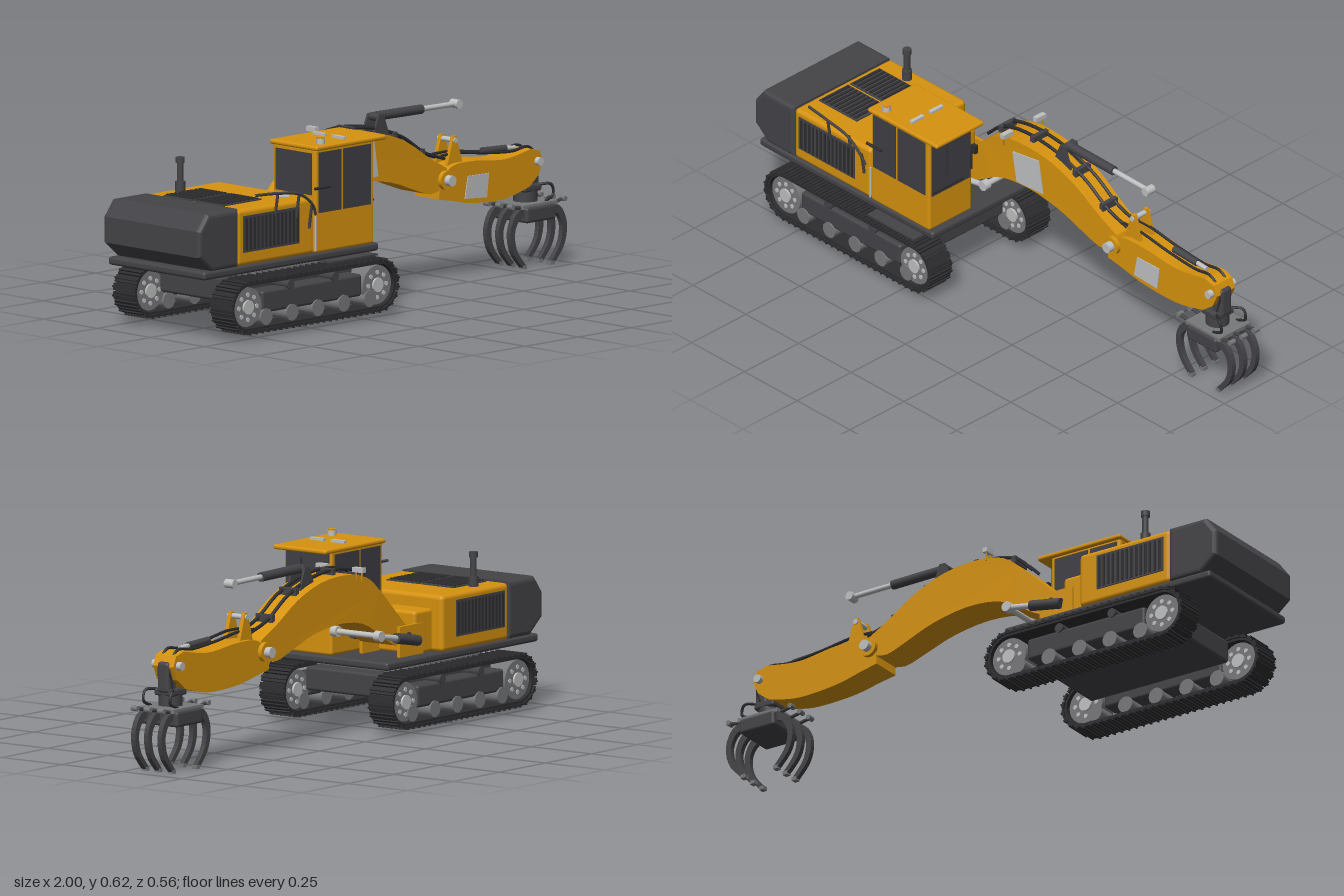
import * as THREE from 'three';
import { RoundedBoxGeometry } from 'three/addons/geometries/RoundedBoxGeometry.js';

const paint = (name, color) => Object.assign(new THREE.MeshStandardMaterial({ color }), { name });
const ORANGE = paint('orange paint', 0xd6920e), DARK = paint('dark metal', 0x444448);
const RUBBER = paint('track black', 0x2d2d30), GLASS = paint('tinted glass', 0x3f3f45);
const STEEL = paint('light steel', 0xbfc0c1), GREY = paint('mid grey', 0x77787a);
const V = (x, y, z) => new THREE.Vector3(x, y, z);
const ARM_Z = -0.1;

export function createModel() {
  const root = new THREE.Group();
  const add = (name, geo, mat, x = 0, y = 0, z = 0) => {
    const m = new THREE.Mesh(geo, mat);
    m.name = name;
    m.position.set(x, y, z);
    root.add(m);
    return m;
  };
  // box given by its min and max on each axis; r rounds the edges
  const box = (name, mat, x0, x1, y0, y1, z0, z1, r = 0) => {
    const s = [x1 - x0, y1 - y0, z1 - z0];
    const g = r ? new RoundedBoxGeometry(...s, 3, r) : new THREE.BoxGeometry(...s);
    return add(name, g, mat, (x0 + x1) / 2, (y0 + y1) / 2, (z0 + z1) / 2);
  };
  const rod = (name, mat, a, b, r, sides = 16) => {
    const d = b.clone().sub(a);
    const m = add(name, new THREE.CylinderGeometry(r, r, d.length(), sides), mat);
    m.position.copy(a).add(b).multiplyScalar(0.5);
    m.quaternion.setFromUnitVectors(V(0, 1, 0), d.normalize());
    return m;
  };
  const pin = (name, mat, x, y, z0, z1, r, sides = 20) => rod(name, mat, V(x, y, z0), V(x, y, z1), r, sides);
  const tube = (name, mat, pts, r) =>
    add(name, new THREE.TubeGeometry(new THREE.CatmullRomCurve3(pts.map(p => V(...p))), 40, r, 6), mat);
  const spline = (pts, n = 24) => new THREE.SplineCurve(pts.map(p => new THREE.Vector2(...p))).getPoints(n);
  // side profile extruded between z0(x) and z1(x)
  const slab = (name, mat, pts, z0, z1) => {
    const shape = new THREE.Shape(pts.map(p => (p.isVector2 ? p : new THREE.Vector2(...p))));
    const g = new THREE.ExtrudeGeometry(shape, { depth: 1, bevelEnabled: false });
    const p = g.attributes.position;
    for (let i = 0; i < p.count; i++) {
      const x = p.getX(i), t = p.getZ(i);
      p.setZ(i, z0(x) * (1 - t) + z1(x) * t);
    }
    g.computeVertexNormals();
    return add(name, g, mat);
  };
  const flat = v => () => v;

  // Crawler tracks
  const XA = -0.81, XB = -0.2, YC = 0.11, L = XB - XA;
  const stadium = (P, r) => {
    P.absarc(XB, YC, r, -Math.PI / 2, Math.PI / 2, false);
    P.absarc(XA, YC, r, Math.PI / 2, Math.PI * 1.5, false);
    P.closePath();
    return P;
  };
  for (const s of [1, -1]) {
    const zc = s * 0.2265;
    const belt = stadium(new THREE.Shape(), 0.082);
    belt.holes.push(stadium(new THREE.Path(), 0.071));
    add('trackBelt', new THREE.ExtrudeGeometry(belt, { depth: 0.09, bevelEnabled: false, curveSegments: 20 }), RUBBER, 0, 0, zc - 0.045);
    const R = 0.083, arc = Math.PI * R, total = 2 * L + 2 * arc, N = 60;
    for (let i = 0; i < N; i++) {
      let d = (i / N) * total, x, y, a;
      if (d < L) { x = XA + d; y = YC - R; a = -Math.PI / 2; }
      else if (d < L + arc) { a = -Math.PI / 2 + (d - L) / R; x = XB + R * Math.cos(a); y = YC + R * Math.sin(a); }
      else if (d < 2 * L + arc) { x = XB - (d - L - arc); y = YC + R; a = Math.PI / 2; }
      else { a = Math.PI / 2 + (d - 2 * L - arc) / R; x = XA + R * Math.cos(a); y = YC + R * Math.sin(a); }
      const shoe = add('trackShoe', new THREE.BoxGeometry(0.008, 0.025, 0.103), RUBBER, x, y, zc);
      shoe.rotation.z = a;
      const cleat = add('trackCleat', new THREE.BoxGeometry(0.007, 0.006, 0.103), RUBBER, x + 0.006 * Math.cos(a), y + 0.006 * Math.sin(a), zc);
      cleat.rotation.z = a;
    }
    // wheels, rollers and side frame
    for (const x of [XA, XB]) {
      pin('trackWheel', GREY, x, YC, zc - 0.035, zc + 0.035, 0.066, 28);
      pin('wheelHub', STEEL, x, YC, zc - 0.042, zc + 0.042, 0.024);
      for (let k = 0; k < 8; k++) {
        const a = (k * Math.PI) / 4;
        pin('wheelBolt', STEEL, x + 0.042 * Math.cos(a), YC + 0.042 * Math.sin(a), zc - 0.038, zc + 0.038, 0.008, 8);
      }
    }
    for (let i = 0; i < 5; i++) pin('roller', GREY, -0.725 + i * 0.122, 0.068, zc - 0.04, zc + 0.04, 0.028);
    box('trackFrame', DARK, -0.74, -0.27, 0.08, 0.155, zc - 0.035, zc + 0.035, 0.01);
    for (const x of [-0.61, -0.4]) pin('carrierRoller', DARK, x, 0.162, zc - 0.04, zc + 0.04, 0.016);
  }
  // Undercarriage and slew ring
  box('undercarriage', DARK, -0.78, -0.23, 0.105, 0.185, -0.178, 0.178, 0.01);
  box('carrierPlate', GREY, -0.7, -0.3, 0.183, 0.206, -0.188, 0.188);
  add('slewRing', new THREE.CylinderGeometry(0.17, 0.17, 0.03, 40), DARK, -0.5, 0.205, 0);

  // Deck, counterweight and engine housing
  box('deck', DARK, -0.976, -0.152, 0.214, 0.242, -0.225, 0.225, 0.01);
  box('sideStep', DARK, -0.42, -0.2, 0.209, 0.215, 0.2, 0.266);
  const cw = new THREE.Shape([[-0.825, 0.255], [-0.93, 0.255], [-0.985, 0.3], [-0.985, 0.375], [-0.95, 0.42], [-0.825, 0.42]].map(p => new THREE.Vector2(...p)));
  add('counterweight', new THREE.ExtrudeGeometry(cw, { depth: 0.42, bevelSize: 0.015, bevelThickness: 0.015, bevelSegments: 3 }), DARK, 0, 0, -0.21);
  box('engineHousing', ORANGE, -0.815, -0.452, 0.24, 0.43, -0.224, 0.22, 0.015);
  for (const s of [1, -1]) {
    const z = s > 0 ? 0.22 : -0.224;
    box('sideGrille', DARK, -0.79, -0.525, 0.285, 0.408, z - 0.003, z + 0.003);
    for (let i = 0; i < 14; i++) box('grilleSlat', RUBBER, -0.78 + i * 0.0185, -0.772 + i * 0.0185, 0.292, 0.4, z - 0.006, z + 0.006);
  }
  for (const [z0, z1] of [[-0.15, -0.015], [-0.005, 0.13]]) {
    box('topGrille', DARK, -0.79, -0.61, 0.428, 0.434, z0, z1);
    for (let i = 0; i < 9; i++) box('topSlat', RUBBER, -0.783 + i * 0.019, -0.774 + i * 0.019, 0.432, 0.438, z0 + 0.006, z1 - 0.006);
  }
  add('warningPatch', new THREE.BoxGeometry(0.04, 0.004, 0.04), STEEL, -0.505, 0.431, 0.125).rotation.y = Math.PI / 4;
  rod('exhaust', DARK, V(-0.685, 0.42, -0.175), V(-0.685, 0.53, -0.175), 0.011);
  rod('exhaustBase', DARK, V(-0.685, 0.42, -0.175), V(-0.685, 0.465, -0.175), 0.017);
  rod('exhaustCap', DARK, V(-0.685, 0.527, -0.175), V(-0.685, 0.546, -0.175), 0.015);
  // Handrail
  tube('handrail', DARK, [[-0.74, 0.472, 0.225], [-0.64, 0.468, 0.235], [-0.54, 0.453, 0.24], [-0.48, 0.41, 0.24], [-0.462, 0.375, 0.235]], 0.005);
  for (const [x, y] of [[-0.64, 0.468], [-0.54, 0.453], [-0.48, 0.41]]) rod('railPost', DARK, V(x, y, 0.235), V(x, y - 0.08, 0.222), 0.005, 8);
  rod('doorGrip', STEEL, V(-0.45, 0.25, 0.223), V(-0.45, 0.365, 0.223), 0.004, 8);

  // Cab
  box('cabBody', ORANGE, -0.45, -0.172, 0.24, 0.592, 0.024, 0.222, 0.01);
  box('cabRoof', ORANGE, -0.455, -0.125, 0.585, 0.601, 0.012, 0.233, 0.007);
  for (const z of [0.222, 0.024]) {
    box('rearSideWindow', GLASS, -0.436, -0.33, 0.375, 0.578, z - 0.003, z + 0.003);
    box('frontSideWindow', GLASS, -0.32, -0.19, 0.375, 0.578, z - 0.003, z + 0.003);
  }
  box('windscreen', GLASS, -0.175, -0.169, 0.372, 0.585, 0.033, 0.212);
  box('rearWindow', GLASS, -0.453, -0.447, 0.435, 0.575, 0.04, 0.206);
  box('windscreenBar', RUBBER, -0.17, -0.164, 0.382, 0.388, 0.07, 0.212);
  rod('wiper', RUBBER, V(-0.166, 0.43, 0.145), V(-0.166, 0.56, 0.145), 0.002, 6);
  box('cabMirror', RUBBER, -0.165, -0.145, 0.472, 0.502, 0.022, 0.037);
  rod('mirrorArm', RUBBER, V(-0.16, 0.41, 0.038), V(-0.16, 0.48, 0.038), 0.003, 6);
  rod('doorHandle', RUBBER, V(-0.46, 0.46, 0.23), V(-0.39, 0.46, 0.23), 0.005, 8);
  for (const z of [0.08, 0.168]) box('roofLight', STEEL, -0.292, -0.278, 0.6, 0.61, z - 0.028, z + 0.028);
  rod('beacon', STEEL, V(-0.4, 0.6, 0.197), V(-0.4, 0.618, 0.197), 0.015);
  rod('beaconCap', ORANGE, V(-0.4, 0.618, 0.197), V(-0.4, 0.623, 0.197), 0.013);

  // Boom mount and lift cylinders
  box('boomMount', ORANGE, -0.46, -0.36, 0.24, 0.385, -0.18, -0.02, 0.012);
  for (const z of [-0.025, -0.18]) {
    box('mountCheek', ORANGE, -0.4, -0.27, 0.24, 0.345, z - 0.006, z + 0.006);
    const zo = z > ARM_Z ? -0.012 : -0.193;
    rod('liftBarrel', DARK, V(-0.36, 0.29, zo), V(-0.24, 0.312, zo), 0.018);
    rod('liftRod', STEEL, V(-0.24, 0.312, zo), V(-0.15, 0.328, zo), 0.01);
    pin('liftEye', STEEL, -0.148, 0.33, zo - 0.012, zo + 0.012, 0.018);
  }
  pin('liftPin', STEEL, -0.148, 0.33, -0.2, -0.005, 0.01);
  pin('boomFootPin', DARK, -0.315, 0.305, -0.19, -0.01, 0.018);

  // Boom and stick, narrowing toward the tip
  const half = x => 0.07 - 0.03 * THREE.MathUtils.clamp((x + 0.15) / 1.05, 0, 1);
  const near = x => ARM_Z + half(x), far = x => ARM_Z - half(x);
  slab('boom', ORANGE, [
    ...spline([[-0.35, 0.32], [-0.27, 0.395], [-0.18, 0.48], [-0.11, 0.53], [-0.01, 0.55], [0.125, 0.54], [0.25, 0.495], [0.355, 0.43], [0.44, 0.385]]),
    [0.455, 0.35],
    ...spline([[0.42, 0.318], [0.36, 0.306], [0.28, 0.332], [0.17, 0.37], [0.035, 0.39], [-0.09, 0.377], [-0.18, 0.33], [-0.26, 0.285], [-0.33, 0.275]]),
  ], far, near);
  slab('stick', ORANGE, [
    ...spline([[0.405, 0.325], [0.46, 0.385], [0.57, 0.392], [0.72, 0.378], [0.85, 0.397]]),
    [0.89, 0.385], [0.905, 0.35], [0.885, 0.305],
    ...spline([[0.84, 0.27], [0.72, 0.245], [0.57, 0.25], [0.46, 0.272], [0.402, 0.283]]),
  ], x => far(x) - 0.002, x => near(x) + 0.002);
  const skin = x => near(x) + 0.001, skinOut = x => near(x) + 0.005;
  slab('boomPatch', STEEL, [[-0.035, 0.505], [0.085, 0.52], [0.105, 0.4], [-0.015, 0.395]], skin, skinOut);
  slab('stickPatch', STEEL, [[0.54, 0.345], [0.642, 0.343], [0.632, 0.262], [0.525, 0.27]], skin, skinOut);
  pin('elbowPin', STEEL, 0.43, 0.346, -0.192, -0.008, 0.018);
  pin('elbowCollar', ORANGE, 0.43, 0.346, -0.17, -0.03, 0.032);
  for (const z of [-0.072, -0.128]) slab('stickBracket', ORANGE, [[0.462, 0.385], [0.492, 0.482], [0.505, 0.482], [0.535, 0.385]], flat(z - 0.007), flat(z + 0.007));
  pin('bracketPin', STEEL, 0.498, 0.468, -0.14, -0.06, 0.009);

  // Arm cylinders
  rod('armBarrel', DARK, V(0.16, 0.587, ARM_Z), V(0.375, 0.584, ARM_Z), 0.016);
  rod('armRod', STEEL, V(0.375, 0.584, ARM_Z), V(0.535, 0.582, ARM_Z), 0.009);
  pin('armRodEye', STEEL, 0.538, 0.582, -0.118, -0.082, 0.015);
  pin('armBarrelEye', DARK, 0.16, 0.585, -0.12, -0.08, 0.014);
  for (const z of [-0.075, -0.125]) slab('armLug', DARK, [[0.12, 0.53], [0.148, 0.595], [0.17, 0.595], [0.2, 0.51]], flat(z - 0.004), flat(z + 0.004));
  rod('gripBarrel', DARK, V(0.66, 0.408, ARM_Z), V(0.77, 0.403, ARM_Z), 0.012);
  rod('gripRod', STEEL, V(0.77, 0.403, ARM_Z), V(0.815, 0.4, ARM_Z), 0.008);

  // Hoses and work lights
  for (const z of [-0.078, -0.122]) {
    tube('boomHose', RUBBER, [[-0.2, 0.48, z], [-0.13, 0.54, z], [-0.02, 0.565, z], [0.13, 0.553, z], [0.26, 0.508, z], [0.37, 0.44, z], [0.46, 0.41, z]], 0.006);
    tube('stickHose', RUBBER, [[0.44, 0.42, z], [0.52, 0.422, z], [0.65, 0.405, z], [0.78, 0.395, z], [0.86, 0.4, z], [0.9, 0.34, z], [0.885, 0.27, z]], 0.005);
  }
  for (const [x, y] of [[-0.13, 0.532], [0.02, 0.557], [0.22, 0.516], [0.35, 0.443]]) box('hoseClamp', DARK, x - 0.008, x + 0.008, y - 0.012, y + 0.014, -0.135, -0.065);
  for (const z of [-0.026, -0.178]) {
    box('workLight', STEEL, -0.068, -0.05, 0.554, 0.57, z - 0.022, z + 0.022);
    for (const d of [-0.012, 0.012]) rod('lightStem', ORANGE, V(-0.059, 0.525, z + d), V(-0.059, 0.556, z + d), 0.003, 6);
  }

  // Grapple head
  pin('wristPin', STEEL, 0.878, 0.352, -0.16, -0.04, 0.014);
  box('wristLink', DARK, 0.862, 0.91, 0.26, 0.365, -0.125, -0.075, 0.012);
  rod('rotator', DARK, V(0.865, 0.215, ARM_Z), V(0.865, 0.272, ARM_Z), 0.04);
  box('rotatorCap', DARK, 0.825, 0.905, 0.25, 0.275, -0.14, -0.06, 0.008);
  box('grappleBody', DARK, 0.795, 0.935, 0.155, 0.208, -0.182, -0.022, 0.01);
  box('grapplePlate', GREY, 0.785, 0.945, 0.202, 0.216, -0.175, -0.03);
  for (const z of [-0.045, -0.155]) tube('grappleHose', RUBBER, [[0.885, 0.27, z * 0.5 - 0.05], [0.93, 0.27, z], [0.94, 0.235, z], [0.9, 0.215, z]], 0.005);
  // Tines, mirrored about the grapple axis
  for (const s of [1, -1]) {
    const mx = x => 0.865 + s * (x - 0.865);
    for (const z of [-0.046, -0.1, -0.156]) {
      const outer = spline([[0.815, 0.21], [0.76, 0.19], [0.732, 0.13], [0.745, 0.06], [0.79, 0.006]], 14);
      const inner = spline([[0.806, 0.012], [0.764, 0.065], [0.753, 0.125], [0.775, 0.168], [0.82, 0.183]], 14);
      const pts = [...outer, ...inner].map(p => new THREE.Vector2(mx(p.x), p.y));
      slab('tine', DARK, pts, flat(z - 0.009), flat(z + 0.009));
      add('tineTip', new THREE.BoxGeometry(0.018, 0.013, 0.02), GREY, mx(0.8), 0.0065, z);
      pin('tinePin', GREY, mx(0.742), 0.215, z - 0.012, z + 0.012, 0.009, 10);
      rod('tineLink', DARK, V(mx(0.742), 0.215, z), V(mx(0.795), 0.205, z), 0.006, 8);
    }
  }
  return root;
}
